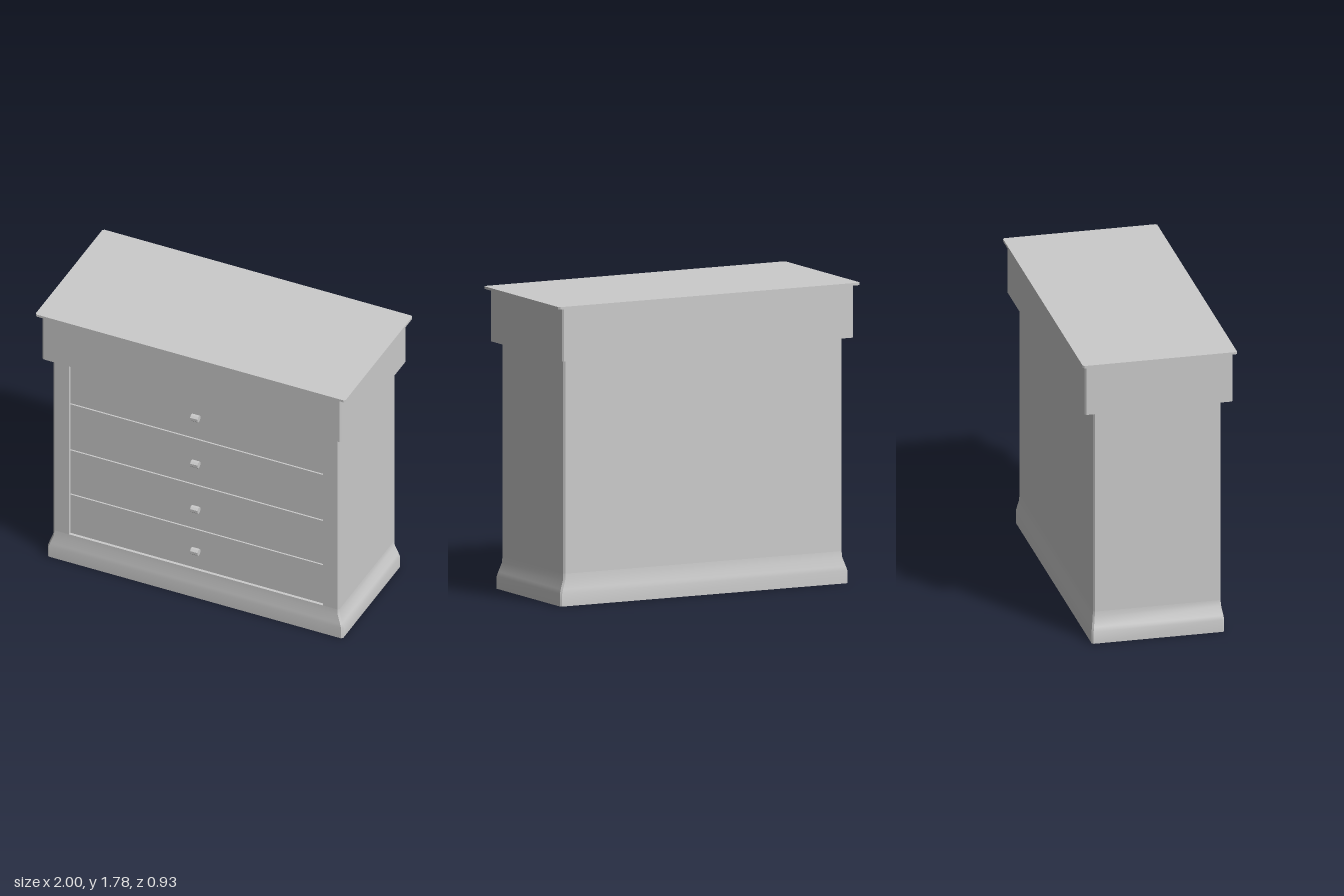
import * as THREE from 'three';
import { toCreasedNormals } from 'three/addons/utils/BufferGeometryUtils.js';

const material = new THREE.MeshStandardMaterial({ color: 0xcccccc });
const shellMaterial = new THREE.MeshStandardMaterial({ color: 0xcccccc, side: THREE.DoubleSide });

const OPEN_X = 0.82, FACE_Z = 0.37; // drawer opening half width, drawer face depth
const BODY = [0.923, 0.383];        // body half width and half depth
const BOTTOM_Y = 0.19, RIM_Y = 1.455;

// Rectangle with chamfered corners, counter-clockwise seen from above, starting at the front right of the opening
function outline(hw, hd, c = 0.01) {
  return [
    [OPEN_X, hd], [hw - c, hd], [hw, hd - c], [hw, c - hd], [hw - c, -hd],
    [c - hw, -hd], [-hw, c - hd], [-hw, hd - c], [c - hw, hd], [-OPEN_X, hd],
  ];
}

// Skin between outlines at rising heights
function loft(sections, closed) {
  const n = sections[0].points.length;
  const positions = [], index = [];
  for (const { y, points } of sections) for (const [x, z] of points) positions.push(x, y, z);
  for (let s = 0; s < sections.length - 1; s++) {
    for (let i = 0; i < (closed ? n : n - 1); i++) {
      const a = s * n + i, b = s * n + (i + 1) % n;
      index.push(a, b, b + n, a, b + n, a + n);
    }
  }
  const geometry = new THREE.BufferGeometry();
  geometry.setAttribute('position', new THREE.Float32BufferAttribute(positions, 3));
  geometry.setIndex(index);
  return toCreasedNormals(geometry, 0.6);
}

// Solid slab with chamfered vertical corners
function slab(hw, hd, y0, y1) {
  const shape = new THREE.Shape(outline(hw, hd).map(([x, z]) => new THREE.Vector2(x, -z)));
  return new THREE.ExtrudeGeometry(shape, { depth: y1 - y0, bevelEnabled: false })
    .rotateX(-Math.PI / 2).translate(0, y0, 0);
}

function box(x0, x1, y0, y1, z0, z1) {
  return new THREE.BoxGeometry(x1 - x0, y1 - y0, z1 - z0)
    .translate((x0 + x1) / 2, (y0 + y1) / 2, (z0 + z1) / 2);
}

export function createModel() {
  const group = new THREE.Group();
  const add = (name, geometry, mat = material) => {
    const mesh = new THREE.Mesh(geometry, mat);
    mesh.name = name;
    group.add(mesh);
    return mesh;
  };

  // Hollow flared plinth: y, half width, half depth
  const plinth = [
    [0, 0.953, 0.398], [0.075, 0.953, 0.398], [0.1, 0.945, 0.394],
    [0.155, 0.925, 0.385], [BOTTOM_Y, ...BODY],
  ];
  add('plinth', loft(plinth.map(([y, hw, hd]) => ({ y, points: outline(hw, hd) })), true), shellMaterial);

  // Body walls, open at the front, with returns into the drawer opening
  const wall = [[OPEN_X, FACE_Z - 0.02], ...outline(...BODY), [-OPEN_X, FACE_Z - 0.02]];
  add('bodyWalls', loft([BOTTOM_Y, RIM_Y].map((y) => ({ y, points: wall })), false), shellMaterial);

  // Panel under the drawers, forming the front ledge
  add('bottomPanel', box(-OPEN_X, OPEN_X, BOTTOM_Y - 0.008, BOTTOM_Y, -BODY[1] + 0.003, BODY[1]));

  // Drawers with knobs, separated by thin gaps
  const edges = [BOTTOM_Y, 0.475, 0.795, 1.128, RIM_Y];
  const knobHeights = [0.33, 0.634, 0.963, 1.295];
  knobHeights.forEach((y, i) => {
    const drawer = new THREE.Group();
    drawer.name = `drawer${i + 1}`;
    const front = new THREE.Mesh(
      box(-OPEN_X + 0.003, OPEN_X - 0.003, edges[i] + 0.004, edges[i + 1] - 0.004, -0.37, FACE_Z), material);
    front.name = 'drawerBox';
    const knobGeometry = new THREE.CylinderGeometry(0.022, 0.022, 0.048, 8)
      .rotateY(Math.PI / 8).rotateZ(Math.PI / 2);
    const knob = new THREE.Mesh(toCreasedNormals(knobGeometry, 0.3), material);
    knob.name = 'knob';
    knob.position.set(0, y, 0.393);
    drawer.add(front, knob);
    group.add(drawer);
  });

  // Overhanging frieze and thin top board
  add('frieze', slab(0.965, 0.445, RIM_Y, 1.765));
  add('topBoard', slab(1, 0.463, 1.765, 1.78));

  return group;
}
